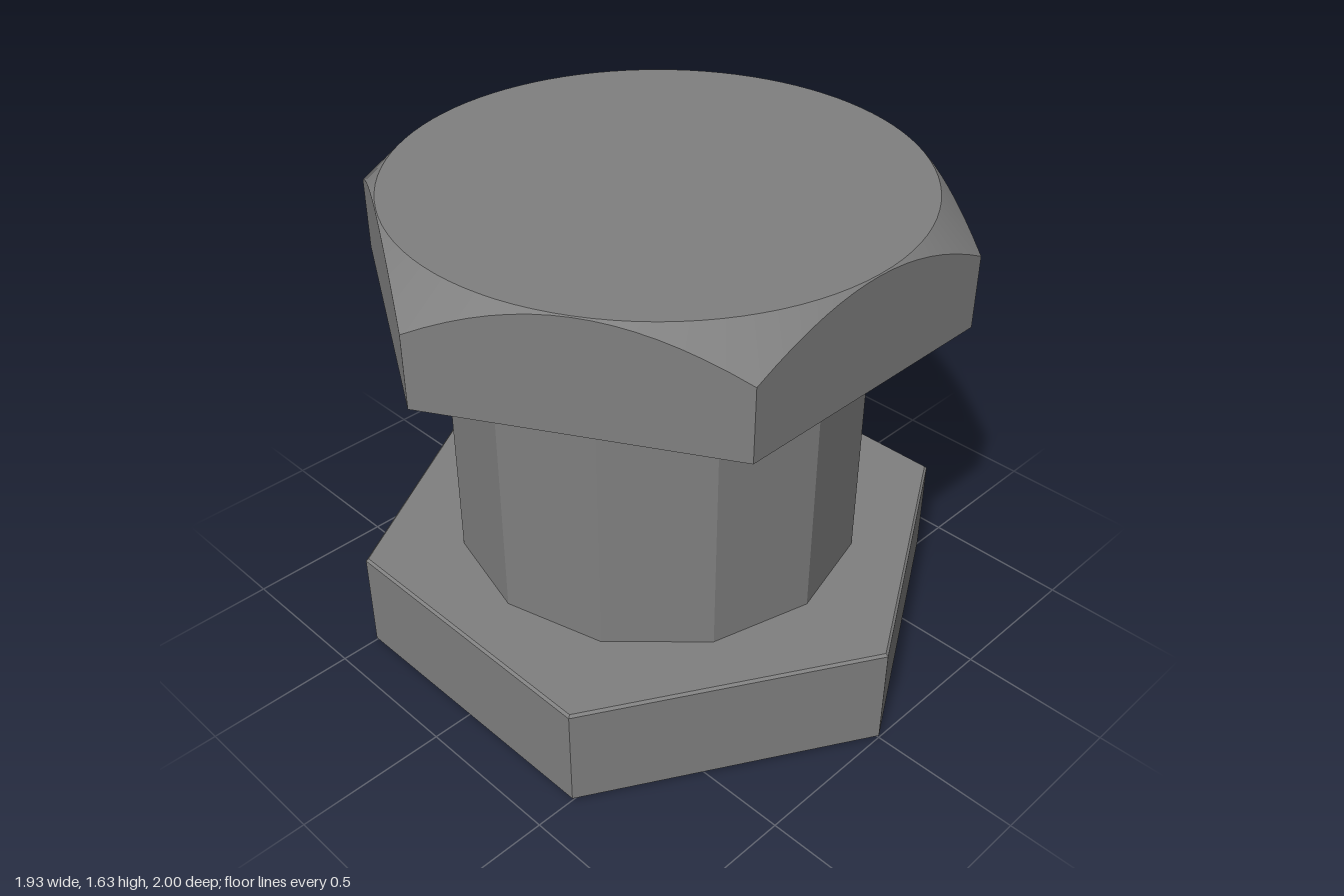
import * as THREE from 'three';
import { toCreasedNormals } from 'three/addons/utils/BufferGeometryUtils.js';

const APOTHEM = 0.837, RIM = 0.834, HEAD_BOTTOM = 1.255, HEAD_TOP = 1.627;

// Radius of the head's hexagon (corners on the x axis) at a given angle
function hexRadius(angle) {
  const step = Math.PI / 3;
  const local = ((angle % step) + step) % step - step / 2;
  return APOTHEM / Math.cos(local);
}

// Hollow hexagonal head: underside ring, side walls, conical chamfer, top disc
function headGeometry() {
  const segments = 96;
  const rings = [
    () => [RIM, HEAD_BOTTOM],
    (a) => [hexRadius(a), HEAD_BOTTOM],
    (a) => [hexRadius(a), HEAD_TOP - (hexRadius(a) - RIM)],
    () => [RIM, HEAD_TOP],
    () => [0, HEAD_TOP],
  ];
  const positions = [], index = [];
  for (const ring of rings) {
    for (let i = 0; i < segments; i++) {
      const a = (i / segments) * Math.PI * 2;
      const [r, y] = ring(a);
      positions.push(r * Math.cos(a), y, r * Math.sin(a));
    }
  }
  for (let j = 0; j < rings.length - 1; j++) {
    for (let i = 0; i < segments; i++) {
      const next = (i + 1) % segments;
      const a = j * segments + i, b = j * segments + next;
      const c = a + segments, d = b + segments;
      index.push(a, c, b);
      if (j < rings.length - 2) index.push(b, c, d);
    }
  }
  const geometry = new THREE.BufferGeometry();
  geometry.setAttribute('position', new THREE.Float32BufferAttribute(positions, 3));
  geometry.setIndex(index);
  return toCreasedNormals(geometry, 0.4);
}

// Hexagonal base with finely bevelled edges, corners on the z axis
function baseGeometry() {
  const bevel = 0.008, height = 0.36;
  const radius = 1 - bevel / Math.cos(Math.PI / 6);
  const shape = new THREE.Shape();
  for (let i = 0; i < 6; i++) {
    const a = Math.PI / 2 + (i * Math.PI) / 3;
    const x = radius * Math.cos(a), y = radius * Math.sin(a);
    if (i === 0) shape.moveTo(x, y);
    else shape.lineTo(x, y);
  }
  shape.closePath();
  const geometry = new THREE.ExtrudeGeometry(shape, {
    depth: height - 2 * bevel,
    bevelEnabled: true,
    bevelThickness: bevel,
    bevelSize: bevel,
    bevelSegments: 1,
  });
  geometry.rotateX(-Math.PI / 2);
  geometry.translate(0, bevel, 0);
  return geometry;
}

export function createModel() {
  const steel = new THREE.MeshStandardMaterial({ color: 0x808080 });
  steel.name = 'steel grey';
  steel.side = THREE.DoubleSide;

  const model = new THREE.Group();
  model.name = 'bolt';
  const add = (name, geometry) => {
    const mesh = new THREE.Mesh(geometry, steel);
    mesh.name = name;
    model.add(mesh);
  };

  add('base', baseGeometry());

  // Twelve-sided shaft, reaching a little way into the hollow head
  const shaftBottom = 0.35, shaftTop = 1.345;
  const shaft = new THREE.CylinderGeometry(0.673, 0.673, shaftTop - shaftBottom, 12);
  shaft.translate(0, (shaftTop + shaftBottom) / 2, 0);
  add('shaft', toCreasedNormals(shaft, 0.1));

  add('head', headGeometry());
  return model;
}
